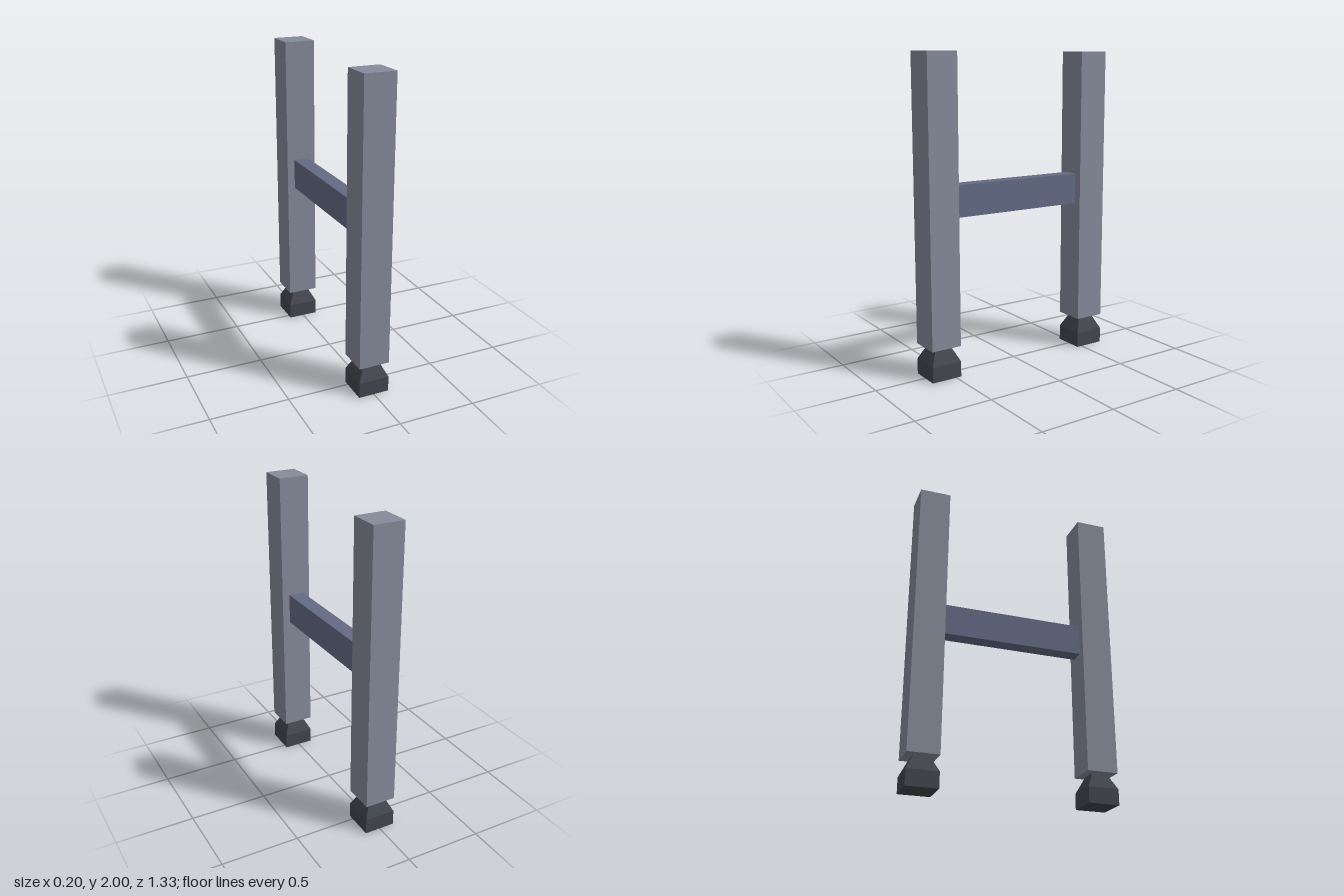
import * as THREE from 'three';

const POST = 0.2;      // post width and depth
const POST_Z = 0.565;  // post centre, front and back

const postMaterial = new THREE.MeshStandardMaterial({ color: 0x868b9a });
const barMaterial = new THREE.MeshStandardMaterial({ color: 0x636a84 });
const footMaterial = new THREE.MeshStandardMaterial({ color: 0x44464e, flatShading: true });

function box(name, w, h, d, y, material) {
  const mesh = new THREE.Mesh(new THREE.BoxGeometry(w, h, d), material);
  mesh.name = name;
  mesh.position.y = y;
  return mesh;
}

// Square foot block with a tapered neck that meets the post
function createFoot() {
  const foot = new THREE.Group();
  foot.name = 'foot';
  foot.add(box('footBlock', POST, 0.1, POST, 0.05, footMaterial));
  const neckGeometry = new THREE.CylinderGeometry(
    0.05 * Math.SQRT2, 0.1 * Math.SQRT2, 0.1, 4, 1, true).rotateY(Math.PI / 4);
  const neck = new THREE.Mesh(neckGeometry, footMaterial);
  neck.name = 'footNeck';
  neck.position.y = 0.15;
  foot.add(neck);
  return foot;
}

export function createModel() {
  const model = new THREE.Group();
  model.name = 'postFrame';

  // Front and back posts, each on its foot
  for (const [side, sign] of [['front', 1], ['back', -1]]) {
    const leg = new THREE.Group();
    leg.name = side + 'Leg';
    leg.position.z = sign * POST_Z;
    leg.add(box('post', POST, 1.8, POST, 1.1, postMaterial), createFoot());
    model.add(leg);
  }

  // Crossbar between the inner faces of the posts
  model.add(box('crossbar', 0.1, 0.2, 2 * POST_Z - POST, 1.1, barMaterial));
  return model;
}
